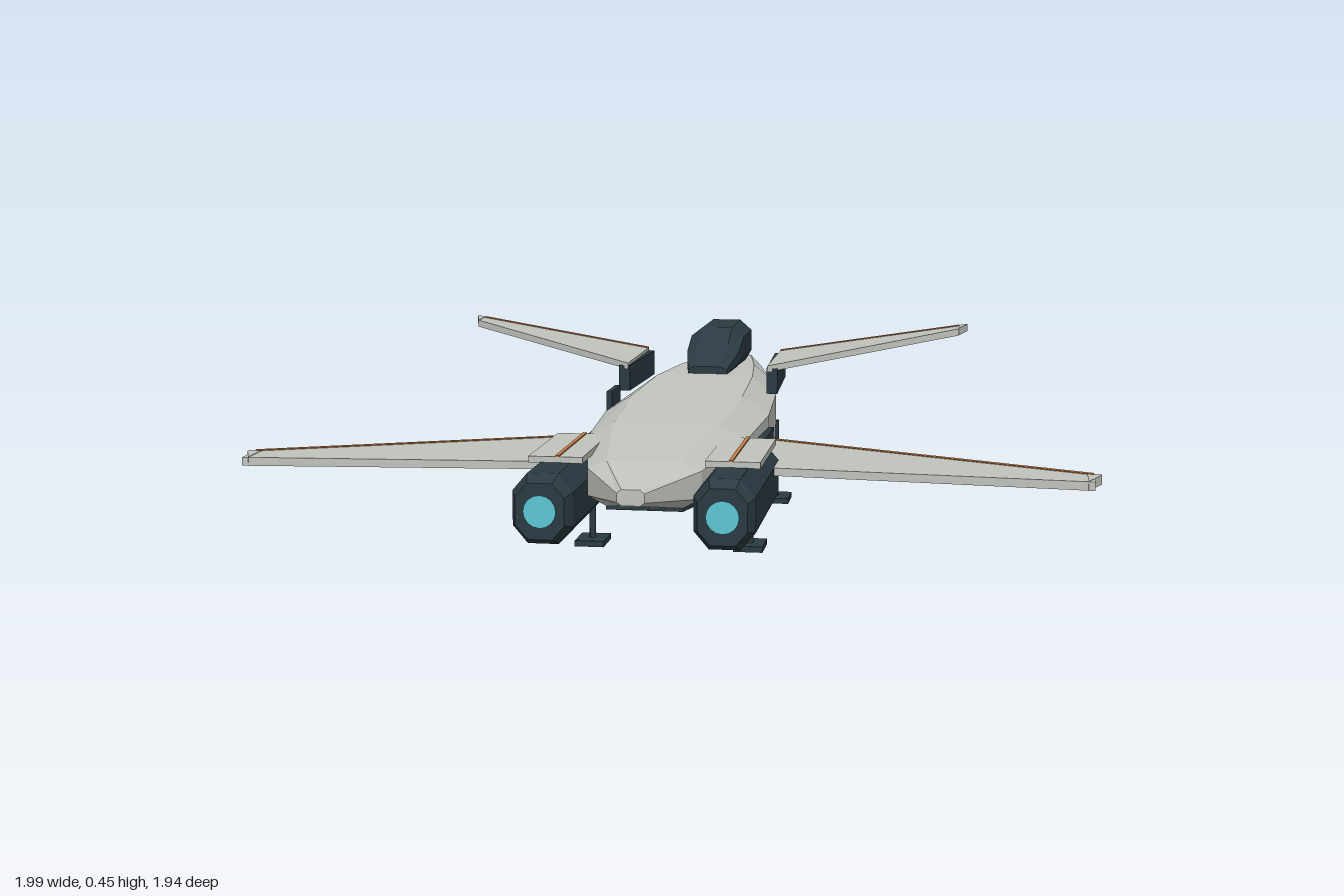
import * as THREE from 'three';

const mat = (name, color) => {
  const m = new THREE.MeshStandardMaterial({ color });
  m.name = name;
  return m;
};

// Faceted skin through closed loops of points, capped at both ends
function loft(loops) {
  const pos = [];
  const tri = (...pts) => pts.forEach((p) => pos.push(...p));
  const n = loops[0].length;
  for (let i = 0; i < loops.length - 1; i++) {
    for (let j = 0; j < n; j++) {
      const k = (j + 1) % n;
      const [a, b, c, d] = [loops[i][j], loops[i][k], loops[i + 1][k], loops[i + 1][j]];
      tri(a, b, c);
      tri(a, c, d);
    }
  }
  const first = loops[0], last = loops[loops.length - 1];
  for (let j = 1; j < n - 1; j++) {
    tri(first[0], first[j + 1], first[j]);
    tri(last[0], last[j], last[j + 1]);
  }
  const g = new THREE.BufferGeometry();
  g.setAttribute('position', new THREE.Float32BufferAttribute(pos, 3));
  g.computeVertexNormals();
  return g;
}

// Eight-sided section: half width w, top and bottom flats of half width tw and bw
const octagon = (z, w, tw, bw, y0, lo, hi, y1, cx = 0) => [
  [w, lo], [w, hi], [tw, y1], [-tw, y1], [-w, hi], [-w, lo], [-bw, y0], [bw, y0],
].map(([x, y]) => [cx + x, y, z]);

// Swept plate from root to tip; each end is { x, lead, trail, bottom, top }
function sweptPlate(root, tip, side) {
  const loops = [root, tip].map((e) => {
    const loop = [
      [e.x * side, e.bottom, e.trail], [e.x * side, e.bottom, e.lead],
      [e.x * side, e.top, e.lead], [e.x * side, e.top, e.trail],
    ];
    return side < 0 ? loop.reverse() : loop;
  });
  return loft(loops);
}

export function createModel() {
  const model = new THREE.Group();
  model.name = 'spacecraft';

  const grey = mat('hull grey', 0xc1c4bd);
  const dark = mat('dark slate', 0x2b3a42);
  const orange = mat('orange trim', 0xc27c48);
  const cyan = mat('engine glow', 0x5cc8d6);

  const add = (name, geometry, material, x = 0, y = 0, z = 0) => {
    const m = new THREE.Mesh(geometry, material);
    m.name = name;
    m.position.set(x, y, z);
    model.add(m);
    return m;
  };
  const box = (name, w, h, d, material, x, y, z) =>
    add(name, new THREE.BoxGeometry(w, h, d), material, x, y, z);

  // Hull stations: z, half width, bottom, lower edge, shoulder, top
  const stations = [
    [-0.97, 0.001, 0.269, 0.27, 0.271, 0.272],
    [-0.65, 0.08, 0.19, 0.222, 0.284, 0.312],
    [-0.35, 0.148, 0.155, 0.192, 0.287, 0.327],
    [-0.1, 0.188, 0.14, 0.178, 0.284, 0.33],
    [0.2, 0.205, 0.138, 0.174, 0.28, 0.323],
    [0.5, 0.188, 0.148, 0.178, 0.27, 0.302],
    [0.8, 0.127, 0.168, 0.19, 0.252, 0.272],
    [0.965, 0.03, 0.205, 0.212, 0.232, 0.24],
  ];
  add('hull', loft(stations.map(([z, w, y0, lo, hi, y1]) =>
    octagon(z, w, w * 0.67, w * 0.67, y0, lo, hi, y1))), grey);

  // Dark belly plate following the underside
  add('bellyPlate', loft(stations.slice(1, 7).map(([z, w, y]) => {
    const b = w * 0.68;
    return [[b, y - 0.008, z], [b, y + 0.001, z], [-b, y + 0.001, z], [-b, y - 0.008, z]];
  })), dark);

  // Canopy
  add('canopy', loft([
    octagon(-0.67, 0.032, 0.025, 0.025, 0.3, 0.31, 0.318, 0.326),
    octagon(-0.52, 0.07, 0.038, 0.05, 0.31, 0.345, 0.402, 0.43),
    octagon(-0.34, 0.072, 0.04, 0.05, 0.315, 0.35, 0.405, 0.43),
    octagon(-0.25, 0.07, 0.04, 0.05, 0.32, 0.345, 0.375, 0.395),
    octagon(-0.145, 0.052, 0.035, 0.045, 0.318, 0.328, 0.34, 0.348),
  ]), dark);

  // Wing with a trim strip along its leading edge
  const wing = (name, root, tip, side) => {
    add(name, sweptPlate(root, tip, side), grey);
    const edge = (e) => ({
      x: e.x, lead: e.lead - 0.003, trail: e.lead + 0.013, bottom: e.top - 0.007, top: e.top + 0.002,
    });
    add(name + 'Trim', sweptPlate(edge(root), edge(tip), side), orange);
  };

  for (const s of [1, -1]) {
    // Rear main wing and its root fairing
    wing('mainWing',
      { x: 0.2, lead: 0.225, trail: 0.6, bottom: 0.208, top: 0.226 },
      { x: 0.98, lead: 0.568, trail: 0.66, bottom: 0.206, top: 0.226 }, s);
    add('wingTip', sweptPlate(
      { x: 0.965, lead: 0.562, trail: 0.66, bottom: 0.205, top: 0.227 },
      { x: 0.997, lead: 0.576, trail: 0.58, bottom: 0.205, top: 0.227 }, s), grey);
    box('wingRoot', 0.026, 0.05, 0.4, dark, s * 0.204, 0.225, 0.4);

    // Raised forward wing and its root block
    wing('forwardWing',
      { x: 0.18, lead: -0.278, trail: 0.03, bottom: 0.362, top: 0.378 },
      { x: 0.655, lead: -0.352, trail: -0.275, bottom: 0.427, top: 0.445 }, s);
    add('forwardWingTip', sweptPlate(
      { x: 0.654, lead: -0.352, trail: -0.275, bottom: 0.427, top: 0.446 },
      { x: 0.676, lead: -0.356, trail: -0.35, bottom: 0.43, top: 0.449 }, s), grey);
    const block = box('forwardWingRoot', 0.028, 0.065, 0.302, dark, s * 0.185, 0.338, -0.128);
    block.rotation.y = s * 0.04;

    // Engine pod with glowing exhaust
    const pod = (z, k) => octagon(z, 0.067 * k, 0.034 * k, 0.034 * k,
      0.187 - 0.077 * k, 0.187 - 0.038 * k, 0.187 + 0.038 * k, 0.187 + 0.077 * k, s * 0.197);
    add('enginePod', loft([pod(0.46, 0.75), pod(0.505, 1), pod(0.935, 1), pod(0.968, 0.8)]), dark);
    const glow = add('engineGlow', new THREE.CylinderGeometry(0.036, 0.036, 0.006, 16), cyan,
      s * 0.197, 0.187, 0.968);
    glow.rotation.x = Math.PI / 2;

    // Panel on top of the pod
    box('podPanel', 0.122, 0.014, 0.3, grey, s * 0.197, 0.27, 0.66);
    box('podStripe', 0.009, 0.004, 0.3, orange, s * 0.193, 0.278, 0.66);

    // Landing legs
    for (const z of [0.445, -0.115]) {
      const top = z > 0 ? 0.2 : 0.215;
      add('landingLeg', new THREE.CylinderGeometry(0.008, 0.008, top, 8), dark,
        s * (z > 0 ? 0.19 : 0.187), top / 2, z);
      box('landingFoot', 0.07, 0.014, 0.09, dark, s * 0.19, 0.007, z);
    }
  }

  // Side hatch and boarding steps, on one side only
  box('hatch', 0.014, 0.11, 0.115, dark, -0.206, 0.266, 0.093);
  for (let i = 0; i < 3; i++) {
    box('boardingStep', 0.042, 0.01, 0.115, dark, -0.231 - i * 0.039, 0.103 - i * 0.03, 0.095);
  }

  return model;
}
